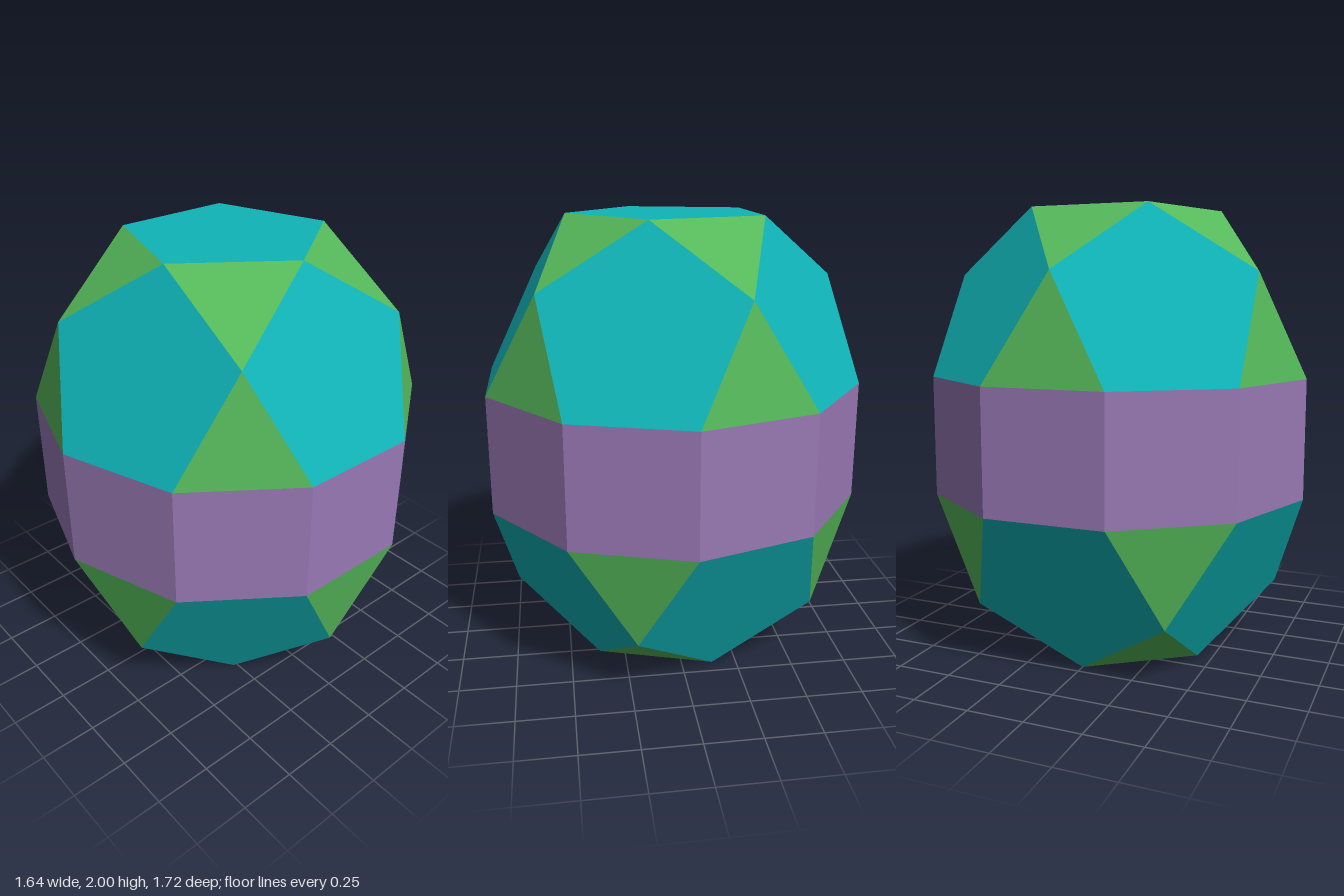
import * as THREE from 'three';

const EDGE = 2 / 3.7528;                 // every edge has the same length
const PHI = (1 + Math.sqrt(5)) / 2;

// Rings of one cap: radius and height above the middle plane
const base = { r: EDGE * PHI, y: EDGE / 2 };
const middle = { r: EDGE * 0.8507 * PHI, y: EDGE / 2 + EDGE * 0.8507 };
const crown = { r: EDGE * 0.8507, y: 1 };

const at = (ring, degrees) => {
  const a = THREE.MathUtils.degToRad(degrees);
  return [ring.r * Math.cos(a), ring.y, ring.r * Math.sin(a)];
};

// Flat-shaded geometry from convex polygons, each cut into a fan
function polygons(faces) {
  const positions = [];
  for (const f of faces) {
    for (let i = 1; i < f.length - 1; i++) positions.push(...f[0], ...f[i], ...f[i + 1]);
  }
  const geometry = new THREE.BufferGeometry();
  geometry.setAttribute('position', new THREE.Float32BufferAttribute(positions, 3));
  geometry.computeVertexNormals();
  return geometry;
}

function material(name, color) {
  const m = new THREE.MeshStandardMaterial({ color });
  m.name = name;
  return m;
}

function mesh(name, geometry, mat) {
  const m = new THREE.Mesh(geometry, mat);
  m.name = name;
  return m;
}

export function createModel() {
  const teal = material('teal', 0x10b4b8);
  const green = material('green', 0x55b85a);
  const purple = material('purple', 0x9878b4);

  // Cap faces: one top pentagon, five side pentagons, ten triangles
  const pentagons = [[288, 216, 144, 72, 0].map((a) => at(crown, a))];
  const triangles = [];
  for (let a = 0; a < 360; a += 72) {
    pentagons.push([at(base, a + 18), at(base, a - 18), at(middle, a - 36), at(crown, a), at(middle, a + 36)]);
    triangles.push([at(base, a + 54), at(base, a + 18), at(middle, a + 36)]);
    triangles.push([at(middle, a + 36), at(crown, a), at(crown, a + 72)]);
  }
  const pentagonGeometry = polygons(pentagons);
  const triangleGeometry = polygons(triangles);

  const makeCap = (name) => {
    const cap = new THREE.Group();
    cap.name = name;
    cap.add(mesh('pentagons', pentagonGeometry, teal), mesh('triangles', triangleGeometry, green));
    return cap;
  };

  const body = new THREE.Group();
  body.name = 'polyhedron';
  body.position.y = 1;

  // The lower cap is the upper one turned over
  const lowerCap = makeCap('lowerCap');
  lowerCap.rotation.z = Math.PI;

  // Ten square faces around the middle
  const band = new THREE.CylinderGeometry(base.r, base.r, EDGE, 10, 1, true).toNonIndexed();
  band.computeVertexNormals();

  body.add(makeCap('upperCap'), lowerCap, mesh('squareBand', band, purple));

  const model = new THREE.Group();
  model.name = 'model';
  model.add(body);
  return model;
}
